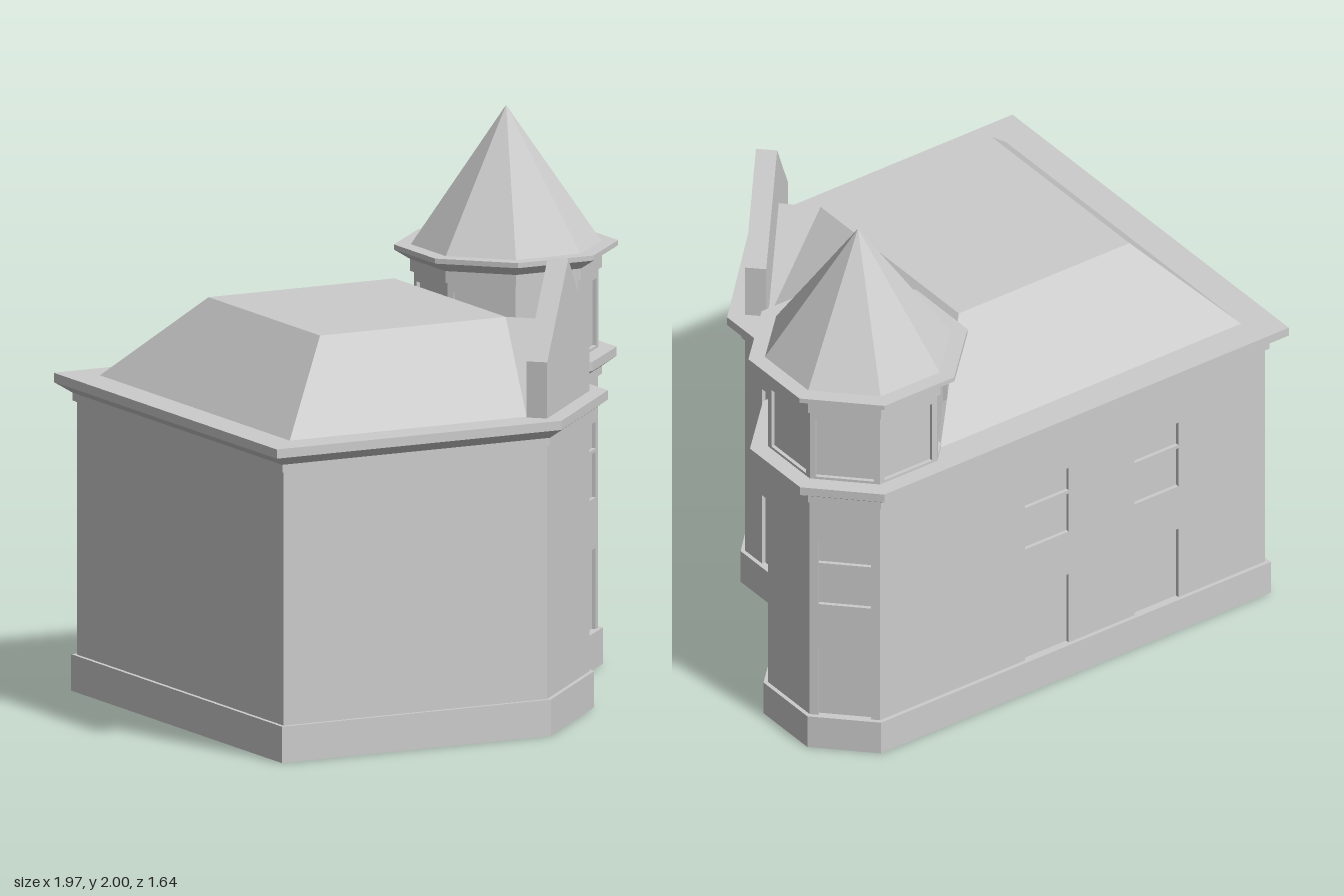
import * as THREE from 'three';

const material = new THREE.MeshStandardMaterial({ color: 0xcccccc, flatShading: true });
const TOWER = { x: 0.617, z: -0.46, apothem: 0.3 };

// Plans are [x, z] loops, counterclockwise from above
const housePlan = [
  [-0.93, 0.76], [0.12, 0.76], [0.5, 0.37], [0.5, -0.16], [0.741, -0.16],
  [0.917, -0.336], [0.917, -0.584], [0.741, -0.76], [-0.93, -0.76],
];
const towerPlan = Array.from({ length: 8 }, (_, i) => {
  const t = (i - 0.5) * Math.PI / 4, r = TOWER.apothem / Math.cos(Math.PI / 8);
  return [TOWER.x + r * Math.sin(t), TOWER.z + r * Math.cos(t)];
});

function mesh(name, geometry) {
  const m = new THREE.Mesh(geometry, material);
  m.name = name;
  return m;
}

// Flat-sided geometry from convex polygons of [x, y, z] corners
function polygons(faces) {
  const pos = [];
  for (const f of faces)
    for (let i = 1; i < f.length - 1; i++) pos.push(...f[0], ...f[i], ...f[i + 1]);
  const g = new THREE.BufferGeometry();
  g.setAttribute('position', new THREE.Float32BufferAttribute(pos, 3));
  g.computeVertexNormals();
  return g;
}

// Push a plan outwards by d with mitred corners
function offsetPlan(plan, d) {
  const n = plan.length;
  const normal = (i) => {
    const a = plan[i], b = plan[(i + 1) % n];
    const l = Math.hypot(b[0] - a[0], b[1] - a[1]);
    return [(a[1] - b[1]) / l, (b[0] - a[0]) / l];
  };
  return plan.map(([x, z], i) => {
    const p = normal((i + n - 1) % n), q = normal(i);
    const k = d / (1 + p[0] * q[0] + p[1] * q[1]);
    return [x + k * (p[0] + q[0]), z + k * (p[1] + q[1])];
  });
}

// Moulding round a plan: profile is a list of [y, offset], capped at both ends
function moulding(plan, profile) {
  const rings = profile.map(([y, d]) => offsetPlan(plan, d).map(([x, z]) => [x, y, z]));
  const faces = [], n = plan.length;
  for (let k = 0; k < rings.length - 1; k++)
    for (let i = 0; i < n; i++) {
      const j = (i + 1) % n;
      faces.push([rings[k][i], rings[k][j], rings[k + 1][j], rings[k + 1][i]]);
    }
  const bottom = rings[0], top = rings[rings.length - 1];
  const tris = THREE.ShapeUtils.triangulateShape(plan.map(([x, z]) => new THREE.Vector2(x, -z)), []);
  for (const [a, b, c] of tris) {
    faces.push([top[a], top[b], top[c]]);
    faces.push([bottom[c], bottom[b], bottom[a]]);
  }
  return polygons(faces);
}

// Group whose x runs along a plan edge and whose z points outwards
function edgeFrame(plan, i, name) {
  const a = plan[i], b = plan[(i + 1) % plan.length];
  const g = new THREE.Group();
  g.name = name;
  g.position.set(a[0], 0, a[1]);
  g.rotation.y = Math.atan2(a[1] - b[1], b[0] - a[0]);
  g.userData.length = Math.hypot(b[0] - a[0], b[1] - a[1]);
  return g;
}

function outline(points) {
  return new THREE.Shape(points.map(([x, y]) => new THREE.Vector2(x, y)));
}
const rect = (x0, y0, x1, y1) => [[x0, y0], [x1, y0], [x1, y1], [x0, y1]];

// Wall with recessed openings, each [centre, width, y0, y1]
function wall(plan, i, y0, y1, openings, name) {
  const g = edgeFrame(plan, i, name), L = g.userData.length, depth = 0.015;
  const shape = outline(rect(0, y0, L, y1));
  for (const [c, w, a, b] of openings)
    shape.holes.push(outline(rect(c - w / 2, a, c + w / 2, b)));
  const face = mesh('wallFace', new THREE.ExtrudeGeometry(shape, { depth, bevelEnabled: false }));
  face.position.z = -depth;
  g.add(face);
  for (const [c, w, a, b] of openings) {
    const pane = mesh('pane', new THREE.BoxGeometry(w + 0.01, b - a + 0.01, 0.01));
    pane.position.set(c, (a + b) / 2, -depth - 0.004);
    g.add(pane);
  }
  return g;
}

// Ground floor opening with a two-sash window above
const windowColumn = (c, w) => [[c, w, 0.11, 0.42], [c, w, 0.6, 0.762], [c, w, 0.775, 0.87]];

export function createModel() {
  const model = new THREE.Group();
  model.name = 'house';

  // Plinth, walls and eaves follow the joined outline of house and tower
  model.add(mesh('plinth', moulding(housePlan, [[0, 0.015], [0.13, 0.015]])));
  const openings = {
    2: [...windowColumn(0.19, 0.178), ...windowColumn(0.393, 0.178)],
    4: windowColumn(0.124, 0.186),
    6: windowColumn(0.124, 0.186),
    7: [...windowColumn(0.724, 0.19), ...windowColumn(1.2, 0.19)],
  };
  housePlan.forEach((_, i) =>
    model.add(wall(housePlan, i, 0.1, 1.05, openings[i] || [], 'houseWall')));
  model.add(mesh('eaves', moulding(housePlan,
    [[1.035, 0.012], [1.063, 0.012], [1.097, 0.06], [1.13, 0.06]])));

  // Hipped roof with a flat top and a small ridge running to the gable
  const B = 1.12, T = 1.43;
  const f0 = [-0.88, B, 0.705], f1 = [0.07, B, 0.705], r0 = [0.445, B, 0.31];
  const r1 = [0.445, B, -0.71], b0 = [-0.88, B, -0.71], ridge = [0.255, T, 0.505];
  const t0 = [-0.59, T, 0.4], t1 = [0.15, T, 0.4], t2 = [0.15, T, -0.42], t3 = [-0.59, T, -0.42];
  model.add(mesh('mainRoof', polygons([
    [f0, f1, t1, t0], [f1, ridge, t1], [ridge, r0, t1], [r0, r1, t2, t1],
    [r1, b0, t3, t2], [b0, f0, t0, t3], [t0, t1, t2, t3],
  ])));

  // Gable slab over the chamfered corner
  const gable = edgeFrame(housePlan, 1, 'cornerGable'), L = gable.userData.length;
  const slab = mesh('gableSlab', new THREE.ExtrudeGeometry(
    outline([[0, 1.12], [L, 1.12], [L, 1.33], [L / 2, 1.65], [0, 1.33]]),
    { depth: 0.075, bevelEnabled: false }));
  slab.position.z = -0.075;
  gable.add(slab);
  model.add(gable);

  // Top storey of the tower, a window in each side
  const tower = new THREE.Group();
  tower.name = 'tower';
  towerPlan.forEach((_, i) =>
    tower.add(wall(towerPlan, i, 1.12, 1.43, [[0.124, 0.206, 1.14, 1.38]], 'towerWall')));
  tower.add(mesh('towerEaves', moulding(towerPlan,
    [[1.415, 0.012], [1.457, 0.012], [1.492, 0.065], [1.51, 0.065]])));

  // Eight-sided spire
  const spire = mesh('spire', new THREE.ConeGeometry(0.313 / Math.cos(Math.PI / 8), 0.495, 8));
  spire.rotation.y = Math.PI / 8;
  spire.position.set(TOWER.x, 1.7525, TOWER.z);
  tower.add(spire);
  model.add(tower);

  return model;
}
